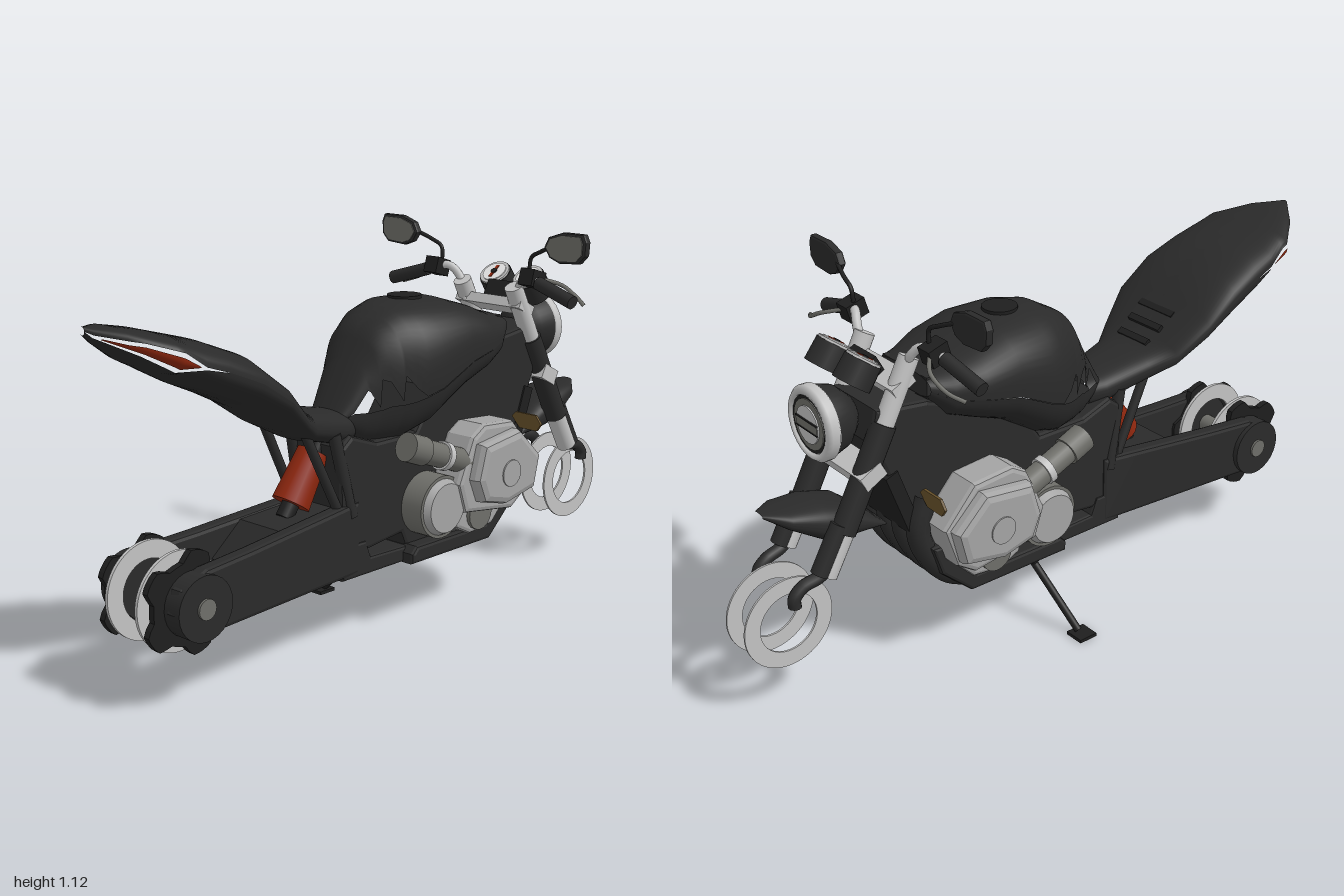
import * as THREE from 'three';

const V = (x, y, z) => new THREE.Vector3(x, y, z);
const mat = (name, color) => {
  const m = new THREE.MeshStandardMaterial({ color });
  m.name = name;
  return m;
};

export function createModel() {
  const root = new THREE.Group();
  root.name = 'motorcycle';
  const black = mat('black', 0x2a2a2a), dark = mat('dark grey', 0x1e1e1e);
  const steel = mat('steel', 0xc2c2c2), engine = mat('engine grey', 0xa4a4a4);
  const pewter = mat('pewter', 0x6e6e69), red = mat('red', 0x8c260e);
  const white = mat('white', 0xf4f4f4), bronze = mat('bronze', 0x66502a);

  const add = (name, geo, m) => {
    const mesh = new THREE.Mesh(geo, m);
    mesh.name = name;
    root.add(mesh);
    return mesh;
  };
  // Side outline in x/y, extruded between two z values
  const slab = (name, pts, z0, z1, m, bevel = 0) => {
    const lo = Math.min(z0, z1) + bevel, hi = Math.max(z0, z1) - bevel;
    const geo = new THREE.ExtrudeGeometry(new THREE.Shape(pts.map(p => new THREE.Vector2(...p))), {
      depth: hi - lo, bevelEnabled: bevel > 0, bevelThickness: bevel, bevelSize: bevel, bevelOffset: -bevel, bevelSegments: 2 });
    return add(name, geo.translate(0, 0, lo), m);
  };
  // Straight round bar between two points
  const rod = (name, a, b, r, m, r2 = r, seg = 20) => {
    const d = b.clone().sub(a);
    const mesh = add(name, new THREE.CylinderGeometry(r2, r, d.length(), seg), m);
    mesh.position.copy(a).addScaledVector(d, 0.5);
    mesh.quaternion.setFromUnitVectors(V(0, 1, 0), d.normalize());
    return mesh;
  };
  const tube = (name, pts, r, m) =>
    add(name, new THREE.TubeGeometry(new THREE.CatmullRomCurve3(pts), 24, r, 10), m);
  const box = (name, w, h, d, x, y, z, m, tilt = 0) => {
    const b = add(name, new THREE.BoxGeometry(w, h, d), m);
    b.position.set(x, y, z);
    b.rotation.z = tilt;
    return b;
  };
  const ring = (name, x, y, z, outer, inner, thick, m) => {
    const s = new THREE.Shape().absarc(0, 0, outer, 0, Math.PI * 2);
    s.holes.push(new THREE.Path().absarc(0, 0, inner, 0, Math.PI * 2, true));
    const geo = new THREE.ExtrudeGeometry(s, { depth: thick, bevelEnabled: false, curveSegments: 28 });
    add(name, geo.translate(x, y, z - thick / 2), m);
  };

  // Rounded cross-section point; each section is [x, top, bottom, half width]
  const E = 0.8;
  const sectionPoint = ([x, top, bot, w], a) => {
    const c = Math.cos(a), s = Math.sin(a);
    return V(x, (top + bot) / 2 + (top - bot) / 2 * Math.sign(s) * Math.abs(s) ** E, w * Math.max(c, 0) ** E);
  };
  const sectionAt = (secs, x) => {
    let i = 0;
    while (i < secs.length - 2 && x > secs[i + 1][0]) i++;
    const t = (x - secs[i][0]) / (secs[i + 1][0] - secs[i][0]);
    return secs[i].map((v, k) => v + (secs[i + 1][k] - v) * t);
  };
  // Part of a body side between a lower and an upper angle; rows are [x, low, high]
  const patch = (name, secs, rows, side, m) => {
    const inside = secs.map(s => s[0]).filter(x => x > rows[0][0] && x < rows.at(-1)[0]);
    const xs = [...new Set([...rows.map(r => r[0]), ...inside])].sort((a, b) => a - b);
    const pos = [], idx = [], nv = 14;
    for (const x of xs) {
      const r = sectionAt(rows, x), sec = sectionAt(secs, x);
      for (let v = 0; v <= nv; v++) {
        const p = sectionPoint(sec, r[1] + (r[2] - r[1]) * v / nv);
        pos.push(p.x, p.y, p.z * side);
      }
    }
    for (let u = 0; u < xs.length - 1; u++) for (let v = 0; v < nv; v++) {
      const a = u * (nv + 1) + v, b = a + nv + 1;
      idx.push(...(side > 0 ? [a, b, a + 1, b, b + 1, a + 1] : [a, a + 1, b, b, a + 1, b + 1]));
    }
    const g = new THREE.BufferGeometry();
    g.setAttribute('position', new THREE.Float32BufferAttribute(pos, 3));
    g.setIndex(idx);
    g.computeVertexNormals();
    add(name, g, m);
  };
  // Turns rows of [x, low y, high y] into rows of angles
  const toAngles = (secs, rows) => rows.map(([x, ...ys]) => {
    const [, top, bot] = sectionAt(secs, x);
    return [x, ...ys.map(y => {
      const u = THREE.MathUtils.clamp((2 * y - top - bot) / (top - bot), -1, 1);
      return Math.asin(Math.sign(u) * Math.abs(u) ** (1 / E));
    })];
  });
  // Hollow body, open along both sides between the low and high line of its rows
  const shell = (name, secs, open) => {
    const rows = toAngles(secs, open);
    for (const s of [1, -1]) {
      patch(name + 'Upper', secs, rows.map(r => [r[0], r[2], Math.PI / 2]), s, black);
      patch(name + 'Lower', secs, rows.map(r => [r[0], -Math.PI / 2, r[1]]), s, black);
    }
  };

  // Bodywork
  const tail = [[-1, 1.005, .985, .01], [-.93, 1, .94, .09], [-.84, .98, .885, .165], [-.7, .94, .81, .185],
    [-.6, .9, .765, .195], [-.5, .82, .715, .195], [-.41, .73, .65, .16], [-.34, .7, .61, .115],
    [-.2, .67, .575, .09], [-.15, .66, .575, .07]];
  const tank = [[-.2, .66, .62, .06], [-.12, .8, .56, .1], [-.07, .89, .55, .13], [0, .93, .55, .165],
    [.08, .945, .58, .195], [.2, .94, .66, .2], [.3, .91, .7, .19], [.38, .88, .73, .155], [.44, .865, .8, .12]];
  const fender = [[.56, .465, .455, .07], [.66, .55, .455, .09], [.75, .58, .47, .09], [.84, .585, .53, .07], [.9, .585, .575, .02]];
  shell('tail', tail, [[-1, .995, .995], [-.985, .979, .986], [-.9, .932, .966], [-.82, .884, .938], [-.765, .89, .897],
    [-.7, .875, .875], [-.15, .617, .617]]);
  shell('fuelTank', tank, [[-.2, .64, .64], [-.165, .66, .662], [-.125, .66, .722], [-.096, .665, .672], [-.09, .665, .75],
    [-.036, .675, .685], [-.03, .675, .757], [.033, .69, .692], [.44, .832, .832]]);
  shell('frontFender', fender, [[.56, .46, .46], [.9, .58, .58]]);
  box('tankNose', .02, .06, .2, .428, .832, 0, black);
  rod('fuelCap', V(.12, .93, 0), V(.12, .95, 0), .05, dark);
  for (let i = 0; i < 4; i++) box('seatRib', .02, .012, .14 - i * .01, -.47 + i * .045, .784 - i * .033, 0, dark, -.6);

  // Frame and belly
  slab('mainFrame', [[-.24, .4], [-.24, .58], [-.2, .61], [-.1, .575], [.06, .575], [.14, .69], [.44, .8], [.6, .82], [.62, .73],
    [.5, .45], [.46, .36], [.33, .22], [.02, .24], [0, .285], [-.13, .27], [-.2, .27]], -.105, .105, black, .012);
  slab('bellyPan', [[0, .2], [.34, .2], [.44, .29], [.47, .38], [.42, .38], [.32, .25], [.02, .25], [0, .23]],
    -.15, .15, black, .01);
  slab('lowerRail', [[-.24, .2], [.05, .2], [.05, .245], [-.13, .25], [-.15, .3], [-.24, .3]], -.11, .11, black, .008);
  box('radiator', .04, .2, .22, .53, .53, 0, dark, -.35);
  for (let i = 0; i < 4; i++) {
    const z = -.105 + i * .07;
    tube('exhaustHeader', [V(.46, .53, z), V(.485, .42, z), V(.42, .29, z), V(.33, .235, z), V(.18, .225, z)], .034, black);
  }

  // Rear shock
  rod('shockShaft', V(-.36, .39, 0), V(-.21, .6, 0), .025, dark);
  rod('shockBody', V(-.335, .425, 0), V(-.248, .555, 0), .055, red, .045);

  // Swingarm bridge, rear axle
  slab('swingarmBridge', [[-.2, .22], [-.2, .41], [-.45, .39], [-.55, .3], [-.45, .22]], -.09, .09, black);
  rod('rearAxle', V(-.775, .28, -.165), V(-.775, .28, .165), .028, pewter);

  // Headlight
  const lathe = (name, pts, x, m) => {
    const mesh = add(name, new THREE.LatheGeometry(pts.map(p => new THREE.Vector2(...p)), 36), m);
    mesh.position.set(x, .785, 0);
    mesh.rotation.z = -Math.PI / 2;
  };
  lathe('headlightBowl', [[0, 0], [.05, .012], [.085, .05], [.1, .1], [.1, .125], [0, .125]], .605, black);
  lathe('headlightRim', [[.1, 0], [.104, .004], [.104, .026], [.095, .036], [.08, .036], [.078, .01]], .703, steel);
  rod('headlightSeal', V(.71, .785, 0), V(.734, .785, 0), .079, dark);
  rod('headlightLens', V(.72, .785, 0), V(.737, .785, 0), .07, pewter);
  rod('headlightReflector', V(.73, .785, 0), V(.741, .785, 0), .052, steel);
  box('headlightBar', .006, .022, .098, .741, .785, 0, pewter);
  for (const dy of [-.013, .013]) box('headlightBarEdge', .006, .004, .1, .742, .785 + dy, 0, dark);

  // Fork clamps
  box('lowerClamp', .07, .045, .27, .635, .655, 0, steel, -.48);
  box('upperClamp', .07, .03, .25, .525, .875, 0, steel, -.48);
  box('gaugeMount', .08, .05, .1, .58, .9, 0, dark, -.5);

  for (const s of [1, -1]) {
    // Tail light, set in the open slot
    patch('tailLight', tail, toAngles(tail, [[-.972, .974, .977], [-.9, .939, .957], [-.825, .896, .927], [-.782, .898, .901]]), s, red);

    // Frame struts and swingarm
    rod('seatStrut', V(-.36, .65, s * .08), V(-.22, .36, s * .09), .014, black);
    rod('seatStrut', V(-.25, .62, s * .085), V(-.2, .38, s * .1), .018, black);
    slab('swingarm', [[-.18, .21], [-.18, .42], [-.3, .41], [-.6, .385], [-.76, .375], [-.85, .34], [-.87, .28],
      [-.85, .23], [-.79, .2]], s * .05, s * .1, black, .012).rotation.y = s * .06;
    rod('rearHub', V(-.775, .28, s * .07), V(-.775, .28, s * .158), .088, black, .088, 28);
    ring('rearDisc', -.785, .28, s * .06, .135, .085, .01, steel);
    const lobes = Array.from({ length: 60 }, (_, i) => {
      const a = i / 60 * Math.PI * 2, r = .126 + .016 * Math.tanh(3 * Math.sin(a * 5 + 1.6));
      return [-.785 + r * Math.cos(a), .28 + r * Math.sin(a)];
    });
    slab('rearCarrier', lobes, s * .08, s * .1, dark);

    // Engine covers
    slab('engineCase', [[.16, .33], [.13, .42], [.19, .55], [.24, .58], [.37, .57], [.47, .46], [.43, .34], [.37, .3]],
      s * .1, s * .21, engine, .015);
    slab('engineSump', [[.16, .36], [.18, .27], [.24, .24], [.34, .25], [.41, .32], [.42, .38]], s * .1, s * .16, engine, .012);
    slab('engineHead', [[.17, .43], [.2, .53], [.36, .55], [.455, .46], [.43, .36], [.3, .335], [.2, .36]], s * .19, s * .252, engine, .022);
    rod('clutchCover', V(.09, .36, s * .1), V(.09, .36, s * .18), .092, pewter, .092, 32);
    rod('clutchCap', V(.09, .36, s * .17), V(.09, .36, s * .2), .088, engine, .072, 32);
    rod('sidePlug', V(.31, .43, s * .24), V(.31, .43, s * .256), .04, engine);
    rod('lowerCover', V(.27, .3, s * .12), V(.27, .3, s * .172), .05, pewter);
    rod('intake', V(.01, .54, s * .165), V(.19, .475, s * .175), .036, pewter);
    rod('intakeMouth', V(-.045, .56, s * .162), V(.02, .536, s * .166), .042, pewter);
    rod('intakeCollar', V(.09, .511, s * .17), V(.11, .504, s * .17), .042, steel);
    const plate = slab('bronzePlate', [[-.055, 0], [-.035, .025], [.04, .025], [.055, .01], [.025, -.022], [-.04, -.022]]
      .map(p => [p[0] * s, p[1]]), 0, .008, bronze);
    plate.rotation.y = Math.PI / 2;
    plate.position.set(.475, .54, s * .172);

    // Fork leg and front disc
    const z = s * .1;
    rod('forkTop', V(.49, .94, z), V(.585, .755, z), .028, steel);
    rod('forkSleeve', V(.575, .775, z), V(.715, .507, z), .034, black);
    rod('forkSlider', V(.705, .525, z), V(.775, .4, z), .03, steel);
    rod('forkGuard', V(.722, .533, z), V(.792, .408, z), .027, black);
    tube('forkFoot', [V(.755, .435, z), V(.79, .4, s * .095), V(.84, .385, s * .09), V(.867, .36, s * .09), V(.867, .335, s * .09)], .018, black);
    ring('frontDisc', .865, .265, s * .046, .132, .086, .006, steel);

    // Gauges
    const lo = V(.645, .895, s * .065), up = V(.605, .95, s * .065), dir = up.clone().sub(lo).normalize();
    const along = d => up.clone().addScaledVector(dir, d);
    rod('gauge', lo, up, .053, black, .051);
    rod('gaugeRim', up, along(.006), .048, steel);
    rod('gaugeFace', up, along(.009), .038, white);
    const needle = box('gaugeNeedle', .05, .003, .01, 0, 0, 0, red);
    needle.position.copy(along(.01));
    needle.quaternion.setFromUnitVectors(V(0, 1, 0), dir);
    rod('gaugeHub', up, along(.013), .01, dark);

    // Handlebar, controls and mirror
    tube('handlebar', [V(.5, .88, s * .09), V(.5, .95, s * .12), V(.485, .98, s * .15), V(.465, .97, s * .2), V(.45, .935, s * .32)], .013, steel);
    rod('grip', V(.462, .965, s * .215), V(.448, .925, s * .35), .02, black);
    box('switchBlock', .06, .05, .05, .47, .975, s * .185, dark, -.3);
    tube('lever', [V(.49, .975, s * .19), V(.53, .955, s * .25), V(.525, .925, s * .31), V(.5, .908, s * .355)], .006, pewter);
    tube('mirrorStem', [V(.475, .98, s * .17), V(.478, 1.035, s * .175), V(.475, 1.055, s * .21), V(.46, 1.08, s * .27)], .006, dark);
    const outline = [[.245, 1.075], [.26, 1.105], [.31, 1.122], [.385, 1.122], [.395, 1.1], [.392, 1.06], [.37, 1.037], [.3, 1.032], [.265, 1.045]];
    const cup = slab('mirrorShell', outline.map(p => [p[0] * s, p[1]]), -.012, .012, black, .006);
    const glass = slab('mirrorGlass', outline.map(p => [(.32 + (p[0] - .32) * .85) * s, 1.077 + (p[1] - 1.077) * .82]), .012, .015, pewter);
    for (const m of [cup, glass]) {
      m.rotation.y = -Math.PI / 2;
      m.position.x = .455;
    }
  }

  // Side stand
  rod('sideStand', V(.1, .2, -.1), V(.06, .015, -.275), .011, dark);
  rod('standPivot', V(.1, .2, -.08), V(.1, .2, -.13), .017, dark);
  box('standFoot', .06, .01, .06, .055, .005, -.285, dark);
  return root;
}
